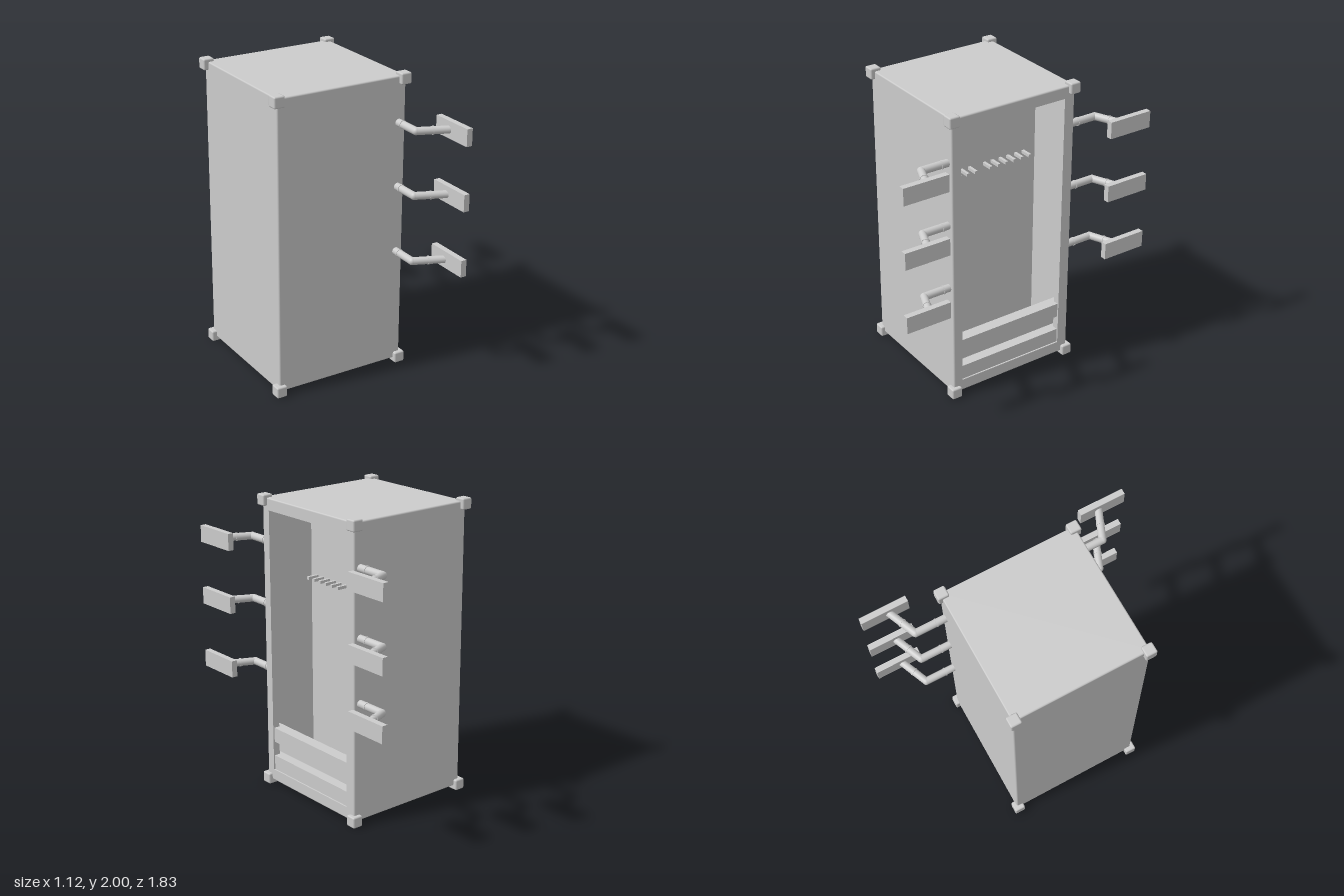
import * as THREE from 'three';
import { RoundedBoxGeometry } from 'three/addons/geometries/RoundedBoxGeometry.js';

const material = new THREE.MeshStandardMaterial({ color: 0xcccccc });

function add(parent, name, geometry) {
  const mesh = new THREE.Mesh(geometry, material);
  mesh.name = name;
  parent.add(mesh);
  return mesh;
}

// Box given by its minimum and maximum on each axis
function box(parent, name, [x0, x1], [y0, y1], [z0, z1]) {
  const mesh = add(parent, name, new THREE.BoxGeometry(x1 - x0, y1 - y0, z1 - z0));
  mesh.position.set((x0 + x1) / 2, (y0 + y1) / 2, (z0 + z1) / 2);
  return mesh;
}

// Round bar between two points
function rod(parent, name, a, b, radius, sides = 20) {
  const dir = b.clone().sub(a);
  const mesh = add(parent, name, new THREE.CylinderGeometry(radius, radius, dir.length(), sides));
  mesh.position.copy(a).add(b).multiplyScalar(0.5);
  mesh.quaternion.setFromUnitVectors(new THREE.Vector3(0, 1, 0), dir.normalize());
  return mesh;
}

// Hollow case with thin side walls and a framed opening towards +x
function makeCabinet() {
  const g = new THREE.Group();
  g.name = 'cabinet';
  const ex = [-0.52, 0.37], ey = [0.04, 1.97], ez = [-0.435, 0.455];
  box(g, 'frontWall', ex, ey, [0.45, 0.465]);
  box(g, 'rearWall', ex, ey, [-0.445, -0.43]);
  box(g, 'roof', ex, [1.9, 1.98], ez);
  box(g, 'floor', ex, [0.03, 0.11], ez);
  box(g, 'backWall', [-0.53, -0.51], ey, ez);
  box(g, 'innerPanel', [-0.03, 0], [0.11, 1.9], [-0.43, 0.45]);

  // Frame around the opening
  box(g, 'framePost', [0.33, 0.38], ey, [0.4, ez[1]]);
  box(g, 'framePost', [0.33, 0.38], ey, [ez[0], -0.37]);
  box(g, 'frameTop', [0.33, 0.38], [1.9, ey[1]], [-0.37, 0.4]);
  box(g, 'frameBottom', [0.33, 0.38], [ey[0], 0.11], [-0.37, 0.4]);

  // Softened edges and corner blocks
  const v = (x, y, z) => new THREE.Vector3(x, y, z);
  const cx = [-0.525, 0.369], cy = [0.037, 1.963], cz = [-0.435, 0.455];
  for (const i of [0, 1]) for (const j of [0, 1]) {
    rod(g, 'edge', v(ex[0], ey[i], ez[j]), v(ex[1], ey[i], ez[j]), 0.01, 8);
    rod(g, 'edge', v(ex[i], ey[0], ez[j]), v(ex[i], ey[1], ez[j]), 0.01, 8);
    rod(g, 'edge', v(ex[i], ey[j], ez[0]), v(ex[i], ey[j], ez[1]), 0.01, 8);
    for (const k of [0, 1]) {
      add(g, 'cornerBlock', new RoundedBoxGeometry(0.074, 0.074, 0.074, 1, 0.01))
        .position.set(cx[i], cy[j], cz[k]);
    }
  }
  return g;
}

// Two boards across the foot of the opening with a recessed board between
function makeFootBoards() {
  const g = new THREE.Group();
  g.name = 'footBoards';
  box(g, 'upperBoard', [0.29, 0.37], [0.31, 0.41], [-0.43, 0.45]);
  box(g, 'recessedBoard', [0.27, 0.3], [0.21, 0.31], [-0.43, 0.45]);
  box(g, 'lowerBoard', [0.29, 0.37], [0.11, 0.21], [-0.43, 0.45]);
  return g;
}

// Cranked arm carrying a flat paddle; side is +1 for front, -1 for rear
function makeArm(side, y, paddleY) {
  const g = new THREE.Group();
  g.name = side > 0 ? 'frontArm' : 'rearArm';
  const p = (x, z) => new THREE.Vector3(x, y, side * z);
  const elbow = p(0.333, 0.65), end = p(0.53, 0.732);
  rod(g, 'armPost', p(0.333, 0.43), elbow, 0.025);
  rod(g, 'armReach', elbow, end, 0.025);
  add(g, 'armElbow', new THREE.SphereGeometry(0.0255, 20, 12)).position.copy(elbow);
  // Thin joint rings
  rod(g, 'jointRing', p(0.333, 0.505), p(0.333, 0.515), 0.028);
  rod(g, 'jointRing', elbow.clone().lerp(end, 0.47), elbow.clone().lerp(end, 0.52), 0.028);
  add(g, 'paddle', new THREE.BoxGeometry(0.04, 0.113, 0.313))
    .position.set(0.54, paddleY, side * 0.757);
  return g;
}

export function createModel() {
  const model = new THREE.Group();
  model.name = 'cabinetWithArms';
  model.add(makeCabinet(), makeFootBoards());

  // Two sets of six pegs on the inner panel
  for (const start of [0.39, -0.03]) {
    for (let i = 0; i < 6; i++) {
      const z = start - i * 0.061;
      box(model, 'peg', [-0.01, 0.08], [1.39, 1.41], [z - 0.01, z + 0.01]);
    }
  }

  // Three arms on each side: height of arm, height of paddle
  for (const [y, py] of [[0.81, 0.813], [1.255, 1.255], [1.68, 1.68]]) model.add(makeArm(1, y, py));
  for (const [y, py] of [[0.826, 0.825], [1.25, 1.246], [1.694, 1.691]]) model.add(makeArm(-1, y, py));
  return model;
}
